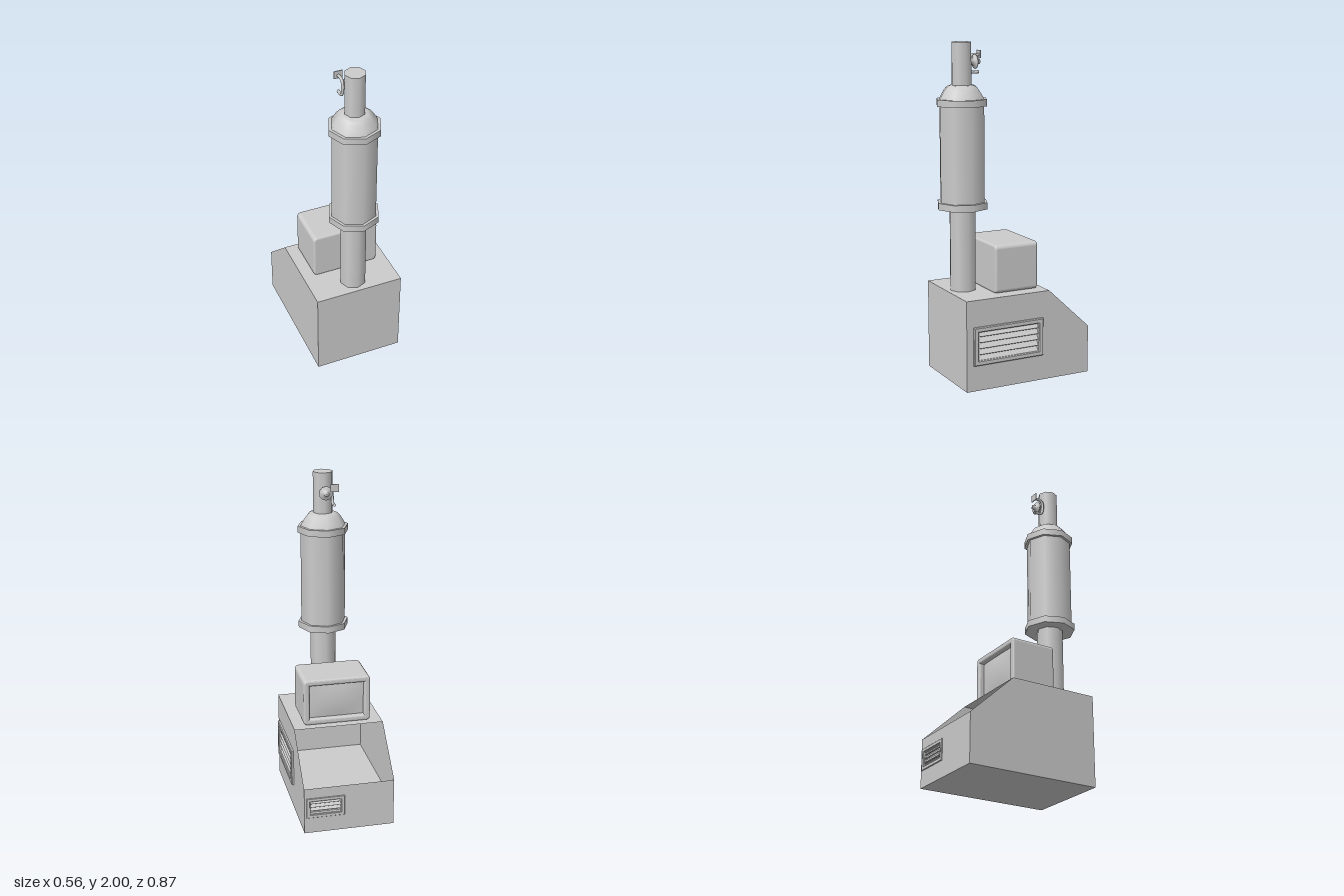
import * as THREE from 'three';

const grey = new THREE.MeshStandardMaterial({ color: 0xcccccc });
const thin = new THREE.MeshStandardMaterial({ color: 0xcccccc, side: THREE.DoubleSide });

function add(parent, name, geometry, x = 0, y = 0, z = 0, material = grey) {
  const mesh = new THREE.Mesh(geometry, material);
  mesh.name = name;
  mesh.position.set(x, y, z);
  parent.add(mesh);
  return mesh;
}

function group(parent, name, x = 0, y = 0, z = 0) {
  const g = new THREE.Group();
  g.name = name;
  g.position.set(x, y, z);
  parent.add(g);
  return g;
}

const rectPoints = (w, h, x = 0, y = 0) => [[-1, -1], [1, -1], [1, 1], [-1, 1]]
  .map(([a, b]) => new THREE.Vector2(x + a * w / 2, y + b * h / 2));

function withHole(points, hole) {
  const shape = new THREE.Shape(points);
  if (hole) shape.holes.push(new THREE.Path(hole));
  return shape;
}

// Louvred vent facing local +z: flange, sleeve through the wall, tilted slats
function makeVent(parent, name, w, h, border, out, inside, slats) {
  const vent = group(parent, name);
  const iw = w - 2 * border, ih = h - 2 * border;
  const bevel = Math.min(0.005, out / 3);
  add(vent, 'ventFlange', new THREE.ExtrudeGeometry(
    withHole(rectPoints(w - 2 * bevel, h - 2 * bevel), rectPoints(iw, ih)),
    { depth: out - bevel, bevelThickness: bevel, bevelSize: bevel, bevelSegments: 1 }), 0, 0, 0);
  add(vent, 'ventSleeve', new THREE.ExtrudeGeometry(
    withHole(rectPoints(iw + border * 0.7, ih + border * 0.7), rectPoints(iw - 0.01, ih - 0.01)),
    { depth: inside, bevelEnabled: false }), 0, 0, -inside);
  const pitch = ih / slats;
  for (let i = 0; i < slats; i++) {
    const slat = add(vent, 'ventSlat', new THREE.BoxGeometry(iw, 0.006, pitch * 1.15),
      0, -ih / 2 + pitch * (i + 0.5), -inside * 0.35);
    slat.rotation.x = 0.9;
  }
  return vent;
}

// Cabinet with open sloping back, made of thin panels
function makeCabinet(model) {
  const cabinet = group(model, 'cabinet');
  const L = -0.28, R = 0.263, F = 0.385, B = -0.43, top = 0.545, ridge = -0.157, low = 0.29;
  const midX = (L + R) / 2, width = R - L;
  const profile = [[-F, 0], [-B, 0], [-B, low], [-ridge, top], [-F, top]]
    .map(([x, y]) => new THREE.Vector2(x, y));
  const panel = (name, shape, x, y, z, rx = 0, ry = 0) => {
    const mesh = add(cabinet, name, new THREE.ShapeGeometry(shape), x, y, z, thin);
    mesh.rotation.set(rx, ry, 0);
  };
  panel('rightSide', withHole(profile), L, 0, 0, 0, Math.PI / 2);
  panel('leftSide', withHole(profile, rectPoints(0.4, 0.18, -0.115, 0.27)), R, 0, 0, 0, Math.PI / 2);
  panel('frontPanel', withHole(rectPoints(width, top)), midX, top / 2, F);
  panel('backPanel', withHole(rectPoints(width, low), rectPoints(0.19, 0.09, 0.135 - midX, 0.163 - low / 2)),
    midX, low / 2, B);
  const flat = (name, y, front, back) =>
    panel(name, withHole(rectPoints(width, front - back)), midX, y, (front + back) / 2, -Math.PI / 2);
  flat('topPanel', top, F, ridge);
  flat('bottomPanel', 0, F, B);
  flat('innerFloor', 0.135, F, B);

  const side = makeVent(cabinet, 'sideVent', 0.455, 0.23, 0.025, 0.015, 0.03, 5);
  side.position.set(R, 0.27, 0.115);
  side.rotation.y = Math.PI / 2;
  const back = makeVent(cabinet, 'backVent', 0.23, 0.127, 0.018, 0.006, 0.034, 4);
  back.position.set(0.135, 0.163, B);
  back.rotation.y = Math.PI;
}

// Monitor: rounded shell with a recessed bulging screen facing the back
function makeMonitor(model) {
  const monitor = group(model, 'monitor', -0.007, 0.69, 0.025);
  const w = 0.41, h = 0.288, d = 0.28, b = 0.012, r = 0.012;
  const shape = new THREE.Shape();
  const x = w / 2 - b, y = h / 2 - b;
  shape.absarc(x - r, y - r, r, 0, Math.PI / 2);
  shape.absarc(-x + r, y - r, r, Math.PI / 2, Math.PI);
  shape.absarc(-x + r, -y + r, r, Math.PI, Math.PI * 1.5);
  shape.absarc(x - r, -y + r, r, Math.PI * 1.5, Math.PI * 2);
  const iw = 0.36, ih = 0.238;
  shape.holes.push(new THREE.Path(rectPoints(iw, ih)));
  add(monitor, 'monitorShell', new THREE.ExtrudeGeometry(shape, {
    depth: d - 2 * b, bevelThickness: b, bevelSize: b, bevelSegments: 3, curveSegments: 4,
  }), 0, 0, -d / 2 + b);
  add(monitor, 'monitorCore', new THREE.BoxGeometry(iw, ih, d - 0.035), 0, 0, 0.0175);
  const screen = new THREE.PlaneGeometry(iw - 0.01, ih - 0.01, 8, 6);
  const p = screen.attributes.position;
  for (let i = 0; i < p.count; i++) {
    const u = p.getX(i) / (iw / 2), v = p.getY(i) / (ih / 2);
    p.setZ(i, 0.014 * (1 - u * u) * (1 - v * v));
  }
  screen.computeVertexNormals();
  add(monitor, 'screen', screen, 0, 0, -d / 2 + 0.032).rotation.y = Math.PI;
}

// Eight-sided tower: column, drum between two flanges, dome, pipe
function makeTower(model) {
  const tower = group(model, 'tower', -0.008, 0, 0.278);
  const tube = (name, radius, y0, y1) =>
    add(tower, name, new THREE.CylinderGeometry(radius, radius, y1 - y0, 8), 0, (y0 + y1) / 2, 0);
  tube('column', 0.08, 0.545, 1.04);
  tube('drum', 0.137, 1.07, 1.64);
  for (const y of [1.035, 1.635]) tube('flange', 0.154, y, y + 0.04);
  const dome = [[0.137, 1.674], [0.13, 1.69], [0.11, 1.722], [0.094, 1.742], [0.078, 1.752], [0.055, 1.755]]
    .map(([r, y]) => new THREE.Vector2(r, y));
  add(tower, 'dome', new THREE.LatheGeometry(dome, 8));
  tube('pipe', 0.06, 1.75, 2);

  // Tap on the back of the pipe
  const tap = group(tower, 'tap', 0, 1.885, -0.05);
  const stem = [[0.026, 0], [0.02, 0.015], [0.022, 0.027], [0.042, 0.034], [0.042, 0.039],
    [0.015, 0.042], [0.015, 0.064], [0, 0.064]].map(([r, y]) => new THREE.Vector2(r, y));
  add(tap, 'tapStem', new THREE.LatheGeometry(stem, 12)).rotation.x = -Math.PI / 2;
  const pipe = (name, points, r) => add(tap, name, new THREE.TubeGeometry(
    new THREE.CatmullRomCurve3(points.map((q) => new THREE.Vector3(...q))), 16, r, 8), 0, 0, 0, thin);
  pipe('tapArm', [[-0.042, 0.035, -0.08], [-0.042, 0.035, -0.035], [-0.042, 0.015, -0.02],
    [-0.042, -0.04, -0.022], [-0.042, -0.062, -0.035], [-0.042, -0.063, -0.08]], 0.009);
  pipe('tapLink', [[0, 0, -0.022], [-0.042, 0, -0.022]], 0.009);
  add(tap, 'tapHandle', new THREE.BoxGeometry(0.05, 0.045, 0.006), -0.042, 0.04, -0.082);
}

export function createModel() {
  const model = new THREE.Group();
  model.name = 'towerMachine';
  makeCabinet(model);
  makeMonitor(model);
  makeTower(model);
  return model;
}
